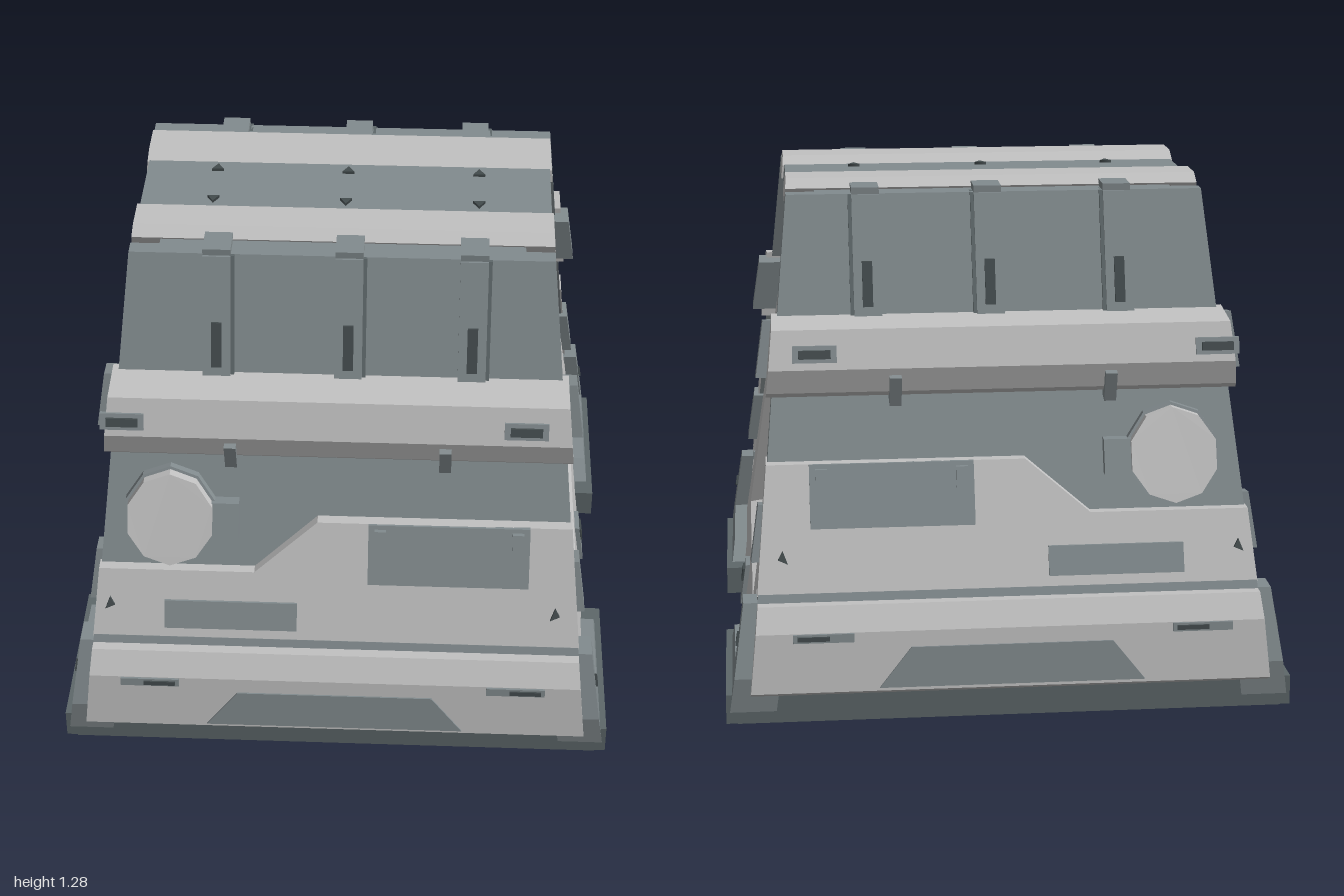
import * as THREE from 'three';

const mat = (name, color) => Object.assign(new THREE.MeshStandardMaterial({ color }), { name });

// Piecewise outline of the sloping walls, [height, half width]
const OUTLINE = [[0.04, 0.72], [0.32, 0.67], [0.62, 0.56], [0.78, 0.495], [0.96, 0.415], [1.25, 0.32]];
function slopeW(y) {
  let i = 0;
  while (i < OUTLINE.length - 2 && y > OUTLINE[i + 1][0]) i++;
  const [y0, w0] = OUTLINE[i], [y1, w1] = OUTLINE[i + 1];
  return w0 + (w1 - w0) * (y - y0) / (y1 - y0);
}
const bandW = (y) => 0.794 - 0.1 * y; // face of the lower band
const upperW = (y) => 0.553 - (y - 0.85) * 0.35; // face of the upper band
const endU = (y) => 0.638 - 0.145 * y; // face of the end walls
const sideU = (y) => 0.655 - 0.1 * y; // ends of the sloping armour, overhanging the end walls
const throatU = () => 0.45, stepU = () => 0.4, paneU = () => 0.34; // upright window steps

// Moves every vertex by a rule, then makes flat normals
function warp(geo, rule) {
  const p = geo.attributes.position;
  for (let i = 0; i < p.count; i++) p.setXYZ(i, ...rule(p.getX(i), p.getY(i), p.getZ(i)));
  geo.computeVertexNormals();
  return geo;
}
function mirrored(geo, sx, sz) {
  const g = geo.index ? geo.toNonIndexed() : geo.clone();
  const p = g.attributes.position;
  if (sx * sz < 0) {
    for (let i = 0; i < p.count; i += 3) {
      const b = [p.getX(i + 1), p.getY(i + 1), p.getZ(i + 1)];
      p.setXYZ(i + 1, p.getX(i + 2), p.getY(i + 2), p.getZ(i + 2));
      p.setXYZ(i + 2, ...b);
    }
  }
  return warp(g, (x, y, z) => [x * sx, y, z * sz]);
}
function extrude(pts, depth, hole) {
  const toV = (a) => a.map(([x, y]) => new THREE.Vector2(x, y));
  const s = new THREE.Shape(toV(pts));
  if (hole) s.holes.push(new THREE.Path(toV(hole)));
  return new THREE.ExtrudeGeometry(s, { depth, bevelEnabled: false });
}
// Long bar along x from a (z, y) profile
const prism = (pts, extra = 0, end = sideU) => warp(extrude(pts, 1), (x, y, z) => [-(z - 0.5) * 2 * (end(y) + extra), y, x]);
// Plate lying on the sloping wall, drawn in (x, y)
const slopePlate = (pts, off, t, face = slopeW) => warp(extrude(pts, t), (x, y, z) => [x, y, face(y) + off + z]);
// Plate lying on the end wall, drawn in (z, y)
const endPlate = (pts, off, t, hole, face = endU) => warp(extrude(pts, t, hole), (x, y, z) => [face(y) + off + z, y, -x]);
const rect = (x0, x1, y0, y1) => [[x0, y0], [x1, y0], [x1, y1], [x0, y1]];
const trap = (w0, w1, y0, y1) => [[w0, y0], [-w0, y0], [-w1, y1], [w1, y1]];
const symmetric = (half) => [...half, ...half.map(([w, y]) => [-w, y]).reverse()];

// Four sloping walls between an outer and an inner opening
function funnel(a, faceA, b, faceB) {
  const v = [];
  for (let i = 0; i < 4; i++) {
    const j = (i + 1) % 4;
    const [A, B] = [a[i], a[j]].map(([w, y]) => [faceA(y), y, w]);
    const [C, D] = [b[j], b[i]].map(([w, y]) => [faceB(y), y, w]);
    v.push(...A, ...B, ...C, ...A, ...C, ...D);
  }
  const g = new THREE.BufferGeometry();
  g.setAttribute('position', new THREE.Float32BufferAttribute(v, 3));
  g.computeVertexNormals();
  return g;
}

export function createModel() {
  const light = mat('light grey armour', 0xc1c1c1);
  const slate = mat('slate panel', 0x828b8e);
  const deep = mat('deep slate trim', 0x5e686a);
  const dark = mat('dark slot', 0x434b4d);

  const model = new THREE.Group();
  const body = new THREE.Group();
  body.name = 'bunker';
  body.rotation.y = THREE.MathUtils.degToRad(27);
  model.add(body);

  const add = (name, geo, m, mirrorX = false, mirrorZ = false) => {
    for (const sx of mirrorX ? [1, -1] : [1]) for (const sz of mirrorZ ? [1, -1] : [1]) {
      const mesh = new THREE.Mesh(sx === 1 && sz === 1 ? geo : mirrored(geo, sx, sz), m);
      mesh.name = name;
      body.add(mesh);
    }
  };
  const onSlopes = (name, geo, m) => add(name, geo, m, false, true);
  const onEnds = (name, geo, m) => add(name, geo, m, true, false);
  const onCorners = (name, geo, m) => add(name, geo, m, true, true);

  // Main hull, hollow under both sloping sides
  add('hull', prism(symmetric([[0.28, 0.03], [0.32, 0.27], [0.6, 0.27], [0.66, 0.06],
    ...OUTLINE.map(([y, w]) => [w, y])]), -0.01, paneU), slate);
  add('floor', new THREE.BoxGeometry(1.24, 0.02, 0.56).translate(0, 0.03, 0), light);
  onSlopes('hollowLining', prism([[0.59, 0.275], [0.585, 0.26], [0.645, 0.06], [0.665, 0.06], [0.605, 0.275]], -0.04), light);
  onCorners('hollowEndLining', endPlate([[-0.32, 0.07], [-0.63, 0.07], [-0.58, 0.27], [-0.32, 0.27]], -0.258, 0.009), light);

  // Base rim and corner feet
  onSlopes('baseRim', new THREE.BoxGeometry(1.36, 0.075, 0.13).translate(0, 0.0375, 0.675), deep);
  onCorners('foot', new THREE.BoxGeometry(0.14, 0.075, 0.48).translate(0.638, 0.0375, 0.497), deep);
  onCorners('cornerGuard', endPlate([[-0.27, 0.03], [-0.74, 0.03], [-0.75, 0.12], [-0.7, 0.3],
    [-0.63, 0.3], [-0.66, 0.14], [-0.36, 0.125]], -0.05, 0.115), slate);
  onCorners('cornerBolt', endPlate([[-0.7, 0.19], [-0.675, 0.2], [-0.69, 0.225]], 0.065, 0.006), dark);

  // End walls: slate surround, light frame, deep stepped window
  const mouth = trap(0.43, 0.25, 0.22, 1.11), throat = trap(0.36, 0.21, 0.27, 1.03);
  const step = trap(0.325, 0.18, 0.3, 1.0), inner = trap(0.29, 0.155, 0.325, 0.98);
  const pane = trap(0.26, 0.13, 0.345, 0.96);
  onEnds('endSurround', endPlate(symmetric([[0.7, 0.05], ...OUTLINE.slice(1).map(([y, w]) => [w, y])]),
    -0.25, 0.25, mouth), slate);
  onEnds('endFrame', endPlate(symmetric([[0.2, 0.015], [0.26, 0.05], [0.36, 0.125], [0.633, 0.13], [0.27, 1.19],
    [0.24, 1.22]]), 0, 0.03, mouth), light);
  onEnds('windowFunnel', funnel(mouth, (y) => endU(y) + 0.03, throat, throatU), light);
  onEnds('windowFrame', endPlate(throat, -0.03, 0.03, step, throatU), slate);
  onEnds('windowStepWalls', funnel(step, throatU, step, stepU), deep);
  onEnds('windowStep', endPlate(step, -0.03, 0.03, inner, stepU), slate);
  onEnds('windowWalls', funnel(inner, stepU, pane, paneU), deep);
  onEnds('windowPane', endPlate(pane, -0.008, 0.008, undefined, paneU), light);
  onEnds('frameLatch', endPlate(rect(-0.04, 0.04, 0.07, 0.18), 0.03, 0.012), slate);
  onEnds('latchSlot', endPlate(rect(-0.025, 0.025, 0.13, 0.165), 0.042, 0.005), dark);
  onEnds('topHook', endPlate(rect(-0.035, 0.035, 1.17, 1.2), 0.03, 0.012), slate);
  for (const [y, t] of [[0.38, 0.085], [0.81, 0.125]]) {
    const w = slopeW(y + 0.06) - 0.03;
    onCorners('edgeClip', endPlate([[-w - 0.03, y], [-w + 0.03, y - 0.01], [-w + 0.06, y + 0.13], [-w, y + 0.14]],
      -0.03, t), slate);
  }
  for (const y of [0.62, 0.82]) {
    const w = 0.37 - (y - 0.3) * 0.18;
    onCorners('funnelTab', endPlate(rect(-w - 0.03, -w + 0.01, y - 0.02, y + 0.02), -0.07, 0.05), slate);
  }

  // Lower armour band
  onSlopes('lowerBand', prism([[0.64, 0.07], [0.74, 0.07], [0.785, 0.092], [0.77, 0.24], [0.735, 0.3], [0.63, 0.3]]), light);
  onSlopes('bandTopTrim', prism([[0.6, 0.295], [0.71, 0.295], [0.7, 0.32], [0.6, 0.32]]), slate);
  onSlopes('bandInset', slopePlate([[-0.33, 0.1], [0.33, 0.1], [0.25, 0.2], [-0.25, 0.2]], -0.003, 0.007, bandW), slate);
  for (const x of [-0.47, 0.47]) {
    onSlopes('bandSlot', slopePlate(rect(x - 0.08, x + 0.07, 0.218, 0.239), -0.003, 0.009, bandW), slate);
    onSlopes('bandSlotCore', slopePlate(rect(x - 0.02, x + 0.06, 0.223, 0.234), 0.004, 0.006, bandW), dark);
  }

  // Middle armour plate with its stepped top edge
  onSlopes('middlePlate', slopePlate([[-0.625, 0.316], [0.625, 0.316], [0.596, 0.62], [-0.05, 0.62],
    [-0.21, 0.49], [-0.608, 0.49]], -0.05, 0.08), light);
  onSlopes('middleHatch', slopePlate(rect(0.08, 0.49, 0.47, 0.62), 0.027, 0.009), slate);
  for (const x of [0.11, 0.46]) onSlopes('hatchHinge', slopePlate(rect(x - 0.015, x + 0.015, 0.56, 0.61), 0.036, 0.01), slate);
  onSlopes('vent', slopePlate(rect(-0.44, -0.1, 0.345, 0.415), 0.027, 0.008), slate);
  for (const x of [-0.58, 0.56]) onSlopes('plateBolt', slopePlate([[x - 0.012, 0.39], [x + 0.012, 0.4], [x, 0.42]], 0.028, 0.007), dark);

  // Upper recess with a faceted dial
  onSlopes('recessPanel', slopePlate([[-0.606, 0.47], [0.606, 0.47], [0.577, 0.78], [-0.577, 0.78]], -0.05, 0.054), slate);
  const ring = (r) => Array.from({ length: 10 }, (_, i) => {
    const a = (i + 0.5) * Math.PI / 5;
    return [-0.425 + r * Math.cos(a), 0.622 + r * Math.sin(a)];
  });
  onSlopes('dialBase', slopePlate(ring(0.12), -0.02, 0.04), slate);
  onSlopes('dial', slopePlate(ring(0.113), 0, 0.042), light);
  onSlopes('dialBox', slopePlate(rect(-0.32, -0.25, 0.575, 0.66), -0.01, 0.04), slate);

  // Bulging upper band
  onSlopes('upperBand', prism([[0.42, 0.775], [0.52, 0.775], [0.535, 0.788], [0.553, 0.85], [0.52, 0.945], [0.4, 0.962]], 0.015), light);
  for (const x of [-0.54, 0.47]) {
    onSlopes('upperBandSlot', slopePlate(rect(x - 0.055, x + 0.055, 0.868, 0.908), -0.004, 0.009, upperW), slate);
    onSlopes('upperBandSlotCore', slopePlate(rect(x - 0.04, x + 0.04, 0.878, 0.898), 0.004, 0.006, upperW), dark);
  }
  for (const x of [-0.27, 0.27]) {
    onSlopes('bandClip', new THREE.BoxGeometry(0.03, 0.08, 0.04).rotateX(0.3).translate(x, 0.795, 0.532), slate);
  }

  // Ribbed roof shoulders
  onSlopes('shoulderPanel', slopePlate([[-0.559, 0.955], [0.559, 0.955], [0.53, 1.25], [-0.53, 1.25]], -0.04, 0.042), slate);
  for (const x of [-0.31, 0.02, 0.33]) {
    onSlopes('rib', slopePlate(rect(x - 0.035, x + 0.035, 0.955, 1.25), -0.03, 0.046), slate);
    onSlopes('ribEdge', slopePlate(rect(x + 0.035, x + 0.044, 0.955, 1.25), -0.03, 0.04), deep);
    onSlopes('ribSlot', slopePlate(rect(x - 0.013, x + 0.013, 0.98, 1.09), 0.013, 0.008), dark);
    onSlopes('ribCap', new THREE.BoxGeometry(0.07, 0.03, 0.09).translate(x, 1.252, 0.285), slate);
  }

  // Roof
  onSlopes('roofStrip', prism([[0.11, 1.22], [0.24, 1.22], [0.262, 1.255], [0.235, 1.278], [0.14, 1.278], [0.11, 1.255]]), light);
  add('roofChannel', prism([[-0.12, 1.22], [0.12, 1.22], [0.12, 1.257], [-0.12, 1.257]], -0.005), slate);
  for (const x of [-0.34, 0.0, 0.34]) {
    onSlopes('roofBolt', new THREE.CylinderGeometry(0.018, 0.018, 0.008, 3).toNonIndexed().translate(x, 1.26, 0.075), dark);
  }
  return model;
}
